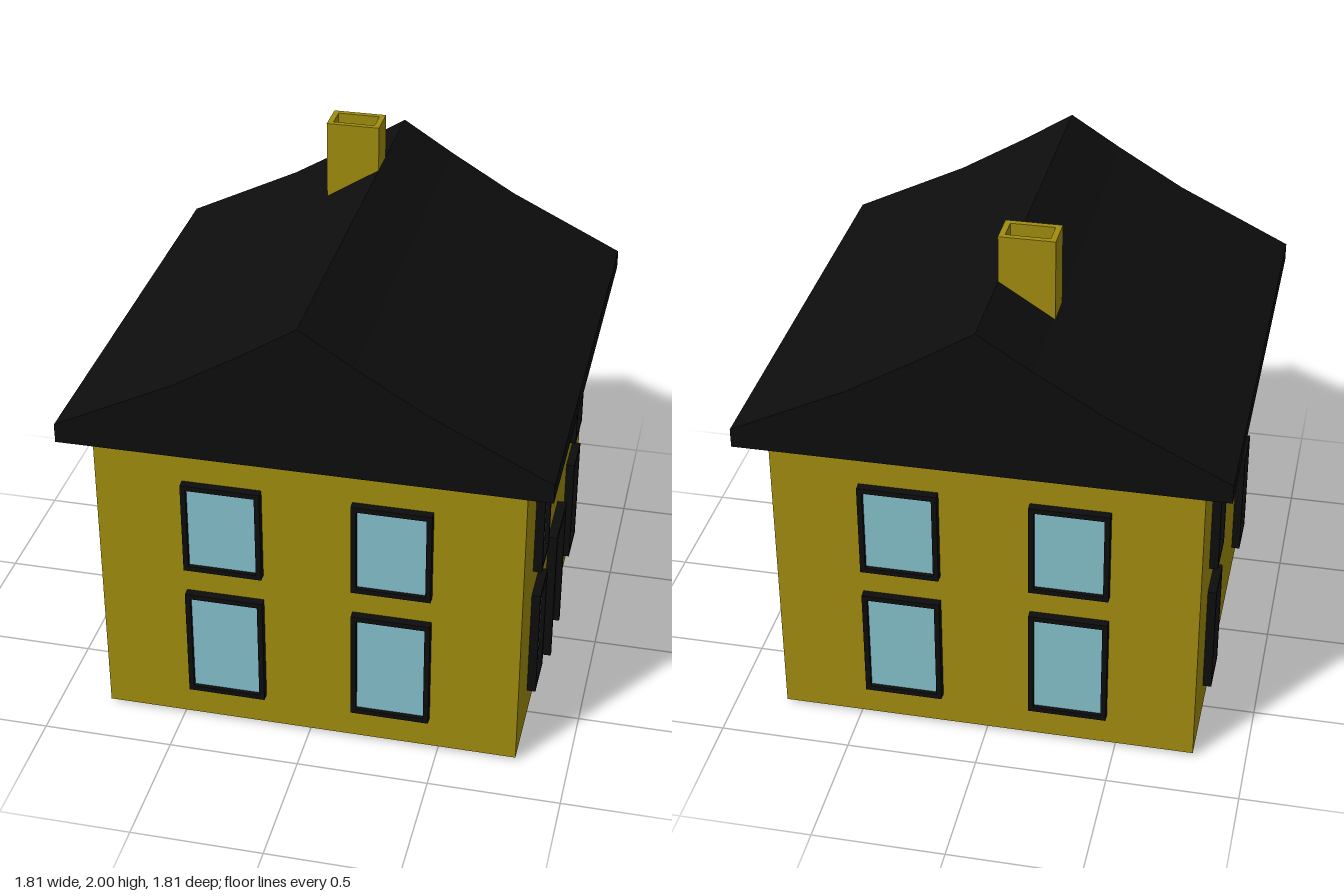
import * as THREE from 'three';

const mat = (color) => new THREE.MeshStandardMaterial({ color, flatShading: true });
const yellow = mat(0xa08c0e), black = mat(0x0d0d0d), blue = mat(0x84bfca), brown = mat(0x4f2818);

function mesh(name, geometry, material, x = 0, y = 0, z = 0) {
  const m = new THREE.Mesh(geometry, material);
  m.name = name;
  m.position.set(x, y, z);
  return m;
}

const box = (name, w, h, d, material, x, y, z) =>
  mesh(name, new THREE.BoxGeometry(w, h, d), material, x, y, z);

// Rectangular ring of outer size w x h in the XY plane, extruded along +z
function ring(w, h, border, depth) {
  const rect = (a, b) => [[-a, -b], [a, -b], [a, b], [-a, b]].map((p) => new THREE.Vector2(...p));
  const shape = new THREE.Shape(rect(w / 2, h / 2));
  shape.holes.push(new THREE.Path(rect(w / 2 - border, h / 2 - border).reverse()));
  return new THREE.ExtrudeGeometry(shape, { depth, bevelEnabled: false });
}

// Framed window, its back on the wall plane z = 0.8
function windowUnit(w, y0, y1, x) {
  const g = new THREE.Group();
  const h = y1 - y0, y = (y0 + y1) / 2;
  g.name = 'window';
  g.add(mesh('windowFrame', ring(w, h, 0.02, 0.033), black, x, y, 0.8));
  g.add(box('glass', w - 0.04, h - 0.04, 0.02, blue, x, y, 0.807));
  return g;
}

export function createModel() {
  const house = new THREE.Group();
  house.name = 'house';

  // Walls
  house.add(box('walls', 1.6, 1.245, 1.6, yellow, 0, 0.6375, 0));

  // Four windows on each side: wide on front and back, narrow on the sides
  ['front', 'left', 'back', 'right'].forEach((side, i) => {
    const facade = new THREE.Group();
    facade.name = side + 'Windows';
    const narrow = i % 2 === 1;
    for (const s of [-1, 1]) {
      for (const [y0, y1] of [[0.145, 0.595], [0.705, 1.08]]) {
        facade.add(windowUnit(narrow ? 0.183 : 0.298, y0, y1, s * (narrow ? 0.462 : 0.318)));
      }
    }
    facade.rotation.y = i * Math.PI / 2;
    house.add(facade);
  });

  // Door with jambs and lintel on the left side
  const door = new THREE.Group();
  door.name = 'door';
  for (const s of [-1, 1]) door.add(box('doorJamb', 0.02, 0.575, 0.045, black, s * 0.12, 0.2875, 0.8135));
  door.add(box('doorLintel', 0.22, 0.025, 0.045, black, 0, 0.5625, 0.8135));
  door.add(box('doorPanel', 0.22, 0.545, 0.02, brown, 0, 0.2775, 0.803));
  door.rotation.y = Math.PI / 2;
  house.add(door);

  // Gabled roof whose slopes flare towards the eaves
  const half = [[0.903, 1.25], [0.903, 1.323], [0.46, 1.54], [0.2, 1.695]];
  const profile = [...half, [0, 1.822], ...half.map(([x, y]) => [-x, y]).reverse()];
  const roof = new THREE.ExtrudeGeometry(
    new THREE.Shape(profile.map((p) => new THREE.Vector2(...p))), { depth: 1.806, bevelEnabled: false });
  house.add(mesh('roof', roof, black, 0, 0, -0.903));

  // Hollow chimney
  const chimney = new THREE.Group();
  chimney.name = 'chimney';
  const shaft = ring(0.206, 0.13, 0.022, 0.38);
  shaft.rotateX(-Math.PI / 2);
  chimney.add(mesh('chimneyShaft', shaft, yellow, -0.103, 1.62, -0.465));
  chimney.add(box('chimneyFloor', 0.164, 0.24, 0.088, yellow, -0.103, 1.74, -0.465));
  house.add(chimney);

  return house;
}
